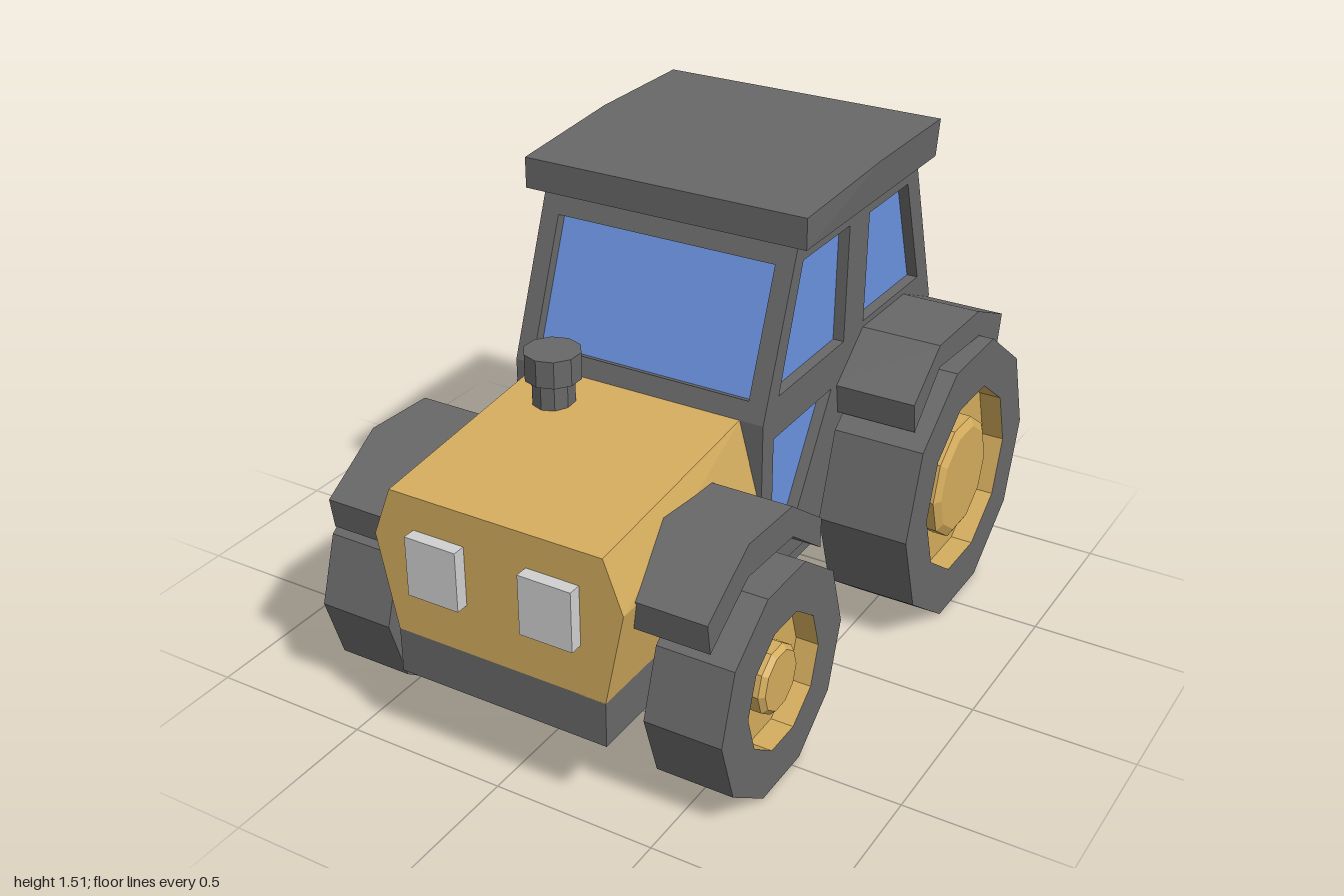
import * as THREE from 'three';

const mat = (name, color) => {
  const m = new THREE.MeshStandardMaterial({ color });
  m.name = name;
  return m;
};

export function createModel() {
  const grey = mat('dark grey', 0x686868);
  const yellow = mat('warm yellow', 0xd4ad5e);
  const blue = mat('glass blue', 0x6a92e0);
  const pale = mat('lamp grey', 0xd0d0d0);
  const model = new THREE.Group();
  model.name = 'tractor';

  // Adds a faceted mesh
  const add = (name, geometry, material, parent = model) => {
    const g = geometry.index ? geometry.toNonIndexed() : geometry;
    g.computeVertexNormals();
    const mesh = new THREE.Mesh(g, material);
    mesh.name = name;
    parent.add(mesh);
    return mesh;
  };
  const toPath = (pts, Type = THREE.Shape) => new Type(pts.map(([a, b]) => new THREE.Vector2(a, b)));
  const extrude = (pts, depth, holes = []) => {
    const shape = toPath(pts);
    shape.holes = holes.map((h) => toPath(h, THREE.Path));
    return new THREE.ExtrudeGeometry(shape, { depth, bevelEnabled: false });
  };
  // Side profile of [z, y] points, stretched from x0 to x1
  const slab = (pts, x0, x1, holes) =>
    extrude(pts, x1 - x0, holes).rotateY(-Math.PI / 2).translate(x1, 0, 0);
  const box = (x0, x1, y0, y1, z0, z1) =>
    new THREE.BoxGeometry(x1 - x0, y1 - y0, z1 - z0)
      .translate((x0 + x1) / 2, (y0 + y1) / 2, (z0 + z1) / 2);
  // Moves every vertex by a rule
  const reshape = (g, rule) => {
    const p = g.attributes.position;
    const v = new THREE.Vector3();
    for (let i = 0; i < p.count; i++) {
      rule(v.fromBufferAttribute(p, i));
      p.setXYZ(i, v.x, v.y, v.z);
    }
    return g;
  };

  // Hood: six-sided section, top rising to the cab
  const hood = extrude([[-0.34, 0.385], [0.34, 0.385], [0.4, 0.68], [0.34, 0.835], [-0.34, 0.835], [-0.4, 0.68]], 0.71)
    .translate(0, 0, 0.25);
  add('hood', reshape(hood, (v) => { if (v.y > 0.8 && v.z < 0.5) v.y = 0.905; }), yellow);
  for (const s of [-1, 1]) {
    add('headlight', box(s * 0.183 - 0.083, s * 0.183 + 0.083, 0.545, 0.73, 0.95, 1), pale);
  }

  // Exhaust
  add('exhaustPipe', new THREE.CylinderGeometry(0.065, 0.065, 0.14, 10).translate(-0.19, 0.91, 0.39), grey);
  add('exhaustCap', new THREE.CylinderGeometry(0.085, 0.085, 0.083, 10).translate(-0.19, 1.007, 0.39), grey);

  // Chassis, drive shaft
  add('chassis', box(-0.34, 0.34, 0.245, 0.387, -0.86, 0.96), grey);
  add('driveShaft', new THREE.CylinderGeometry(0.062, 0.062, 1.25, 8)
    .rotateY(Math.PI / 8).rotateX(Math.PI / 2).translate(0, 0.235, 0.02), grey);

  // Rear box, narrowing at top and bottom
  const rear = slab([[-0.8, 0.8], [-0.86, 0.8], [-0.945, 0.735], [-0.945, 0.48], [-0.86, 0.387], [-0.8, 0.387]], -1, 1);
  add('rearBox', reshape(rear, (v) => {
    v.x *= v.y > 0.78 ? 0.39 : v.y > 0.7 ? 0.4 : v.y > 0.45 ? 0.36 : 0.34;
  }), yellow);

  // Cab: glass core behind walls with window openings
  const cab = new THREE.Group();
  cab.name = 'cab';
  model.add(cab);
  add('glass', slab([[0.218, 0.4], [0.218, 0.905], [0.033, 1.39], [-0.663, 1.39], [-0.828, 0.87], [-0.828, 0.4]], -0.38, 0.38), blue, cab);
  const profile = [[0.255, 0.385], [0.255, 0.905], [0.07, 1.39], [-0.7, 1.39], [-0.865, 0.87], [-0.855, 0.385]];
  const windows = [
    [[0.165, 0.96], [0.04, 1.325], [-0.25, 1.325], [-0.24, 0.96]],
    [[-0.37, 0.975], [-0.38, 1.32], [-0.645, 1.32], [-0.76, 0.97]],
    [[0.19, 0.835], [0.19, 0.445], [0.08, 0.445], [-0.17, 0.835]],
  ];
  add('leftWall', slab(profile, 0.375, 0.415, windows), grey, cab);
  add('rightWall', slab(profile, -0.415, -0.375, windows), grey, cab);
  // Sloping end wall from height y0 at distance z0 up to distance z1
  const endWall = (y0, z0, z1) => {
    const tilt = Math.atan2(z0 - z1, 1.39 - y0);
    const s = (y) => (y - y0) / Math.cos(tilt);
    const rect = (w, a, b) => [[-w, a], [w, a], [w, b], [-w, b]];
    return extrude(rect(0.4, 0, s(1.39)), 0.04, [rect(0.357, s(0.96), s(1.32))])
      .translate(0, 0, -0.04).rotateX(-tilt).translate(0, y0, z0);
  };
  add('frontWall', endWall(0.905, 0.255, 0.07), grey, cab);
  add('backWall', endWall(0.87, 0.865, 0.7).rotateY(Math.PI), grey, cab);
  add('lowerFrontWall', box(-0.4, 0.4, 0.385, 0.905, 0.2, 0.254), grey, cab);
  add('lowerBackWall', box(-0.4, 0.4, 0.385, 0.87, -0.855, -0.8), grey, cab);
  add('floor', box(-0.4, 0.4, 0.385, 0.42, -0.855, 0.254), grey, cab);
  const roof = slab([[0.11, 1.388], [0.11, 1.482], [-0.33, 1.508], [-0.74, 1.508], [-0.74, 1.388]], -0.468, 0.468);
  add('roof', reshape(roof, (v) => { if (v.z > 0 || v.y < 1.4) v.x *= 0.98; }), grey, cab);

  // Wheels with recessed rims, and axles
  const wheelPair = (label, R, rim, hub, x0, x1, y, z) => {
    const lathe = (pts) => new THREE.LatheGeometry(pts.map(([r, h]) => new THREE.Vector2(r, h)), 10)
      .rotateZ(-Math.PI / 2);
    for (const side of [1, -1]) {
      const wheel = new THREE.Group();
      wheel.name = label + (side > 0 ? 'LeftWheel' : 'RightWheel');
      wheel.position.set(0, y, z);
      if (side < 0) wheel.rotation.y = Math.PI;
      model.add(wheel);
      add('tyre', lathe([[0, x0], [R, x0], [R, x1], [rim, x1]]), grey, wheel);
      add('rim', lathe([[rim, x1], [rim, x1 - 0.07], [hub, x1 - 0.07], [hub, x1 - 0.025],
        [hub * 0.86, x1 - 0.01], [0, x1 - 0.01]]), yellow, wheel);
    }
    add(label + 'Axle', new THREE.CylinderGeometry(0.125, 0.125, x0 * 2 + 0.02, 10)
      .rotateZ(Math.PI / 2).translate(0, y, z), grey);
  };
  wheelPair('front', 0.345, 0.203, 0.105, 0.425, 0.662, 0.33, 0.565);
  wheelPair('rear', 0.45, 0.3, 0.197, 0.425, 0.712, 0.428, -0.55);

  // Fenders
  const frontFender = [[0.9, 0.69], [0.69, 0.82], [0.45, 0.81], [0.27, 0.68], [0.27, 0.585], [0.44, 0.71], [0.69, 0.72], [0.885, 0.595]];
  const rearFender = [[-0.205, 0.83], [-0.37, 0.955], [-0.66, 0.95], [-0.865, 0.86], [-0.845, 0.765], [-0.68, 0.86], [-0.38, 0.88], [-0.22, 0.735]];
  for (const s of [-1, 1]) {
    const span = (a, b) => (s > 0 ? [a, b] : [-b, -a]);
    add('frontFender', slab(frontFender, ...span(0.34, 0.612)), grey);
    add('rearFender', slab(rearFender, ...span(0.4, 0.667)), grey);
  }
  return model;
}
